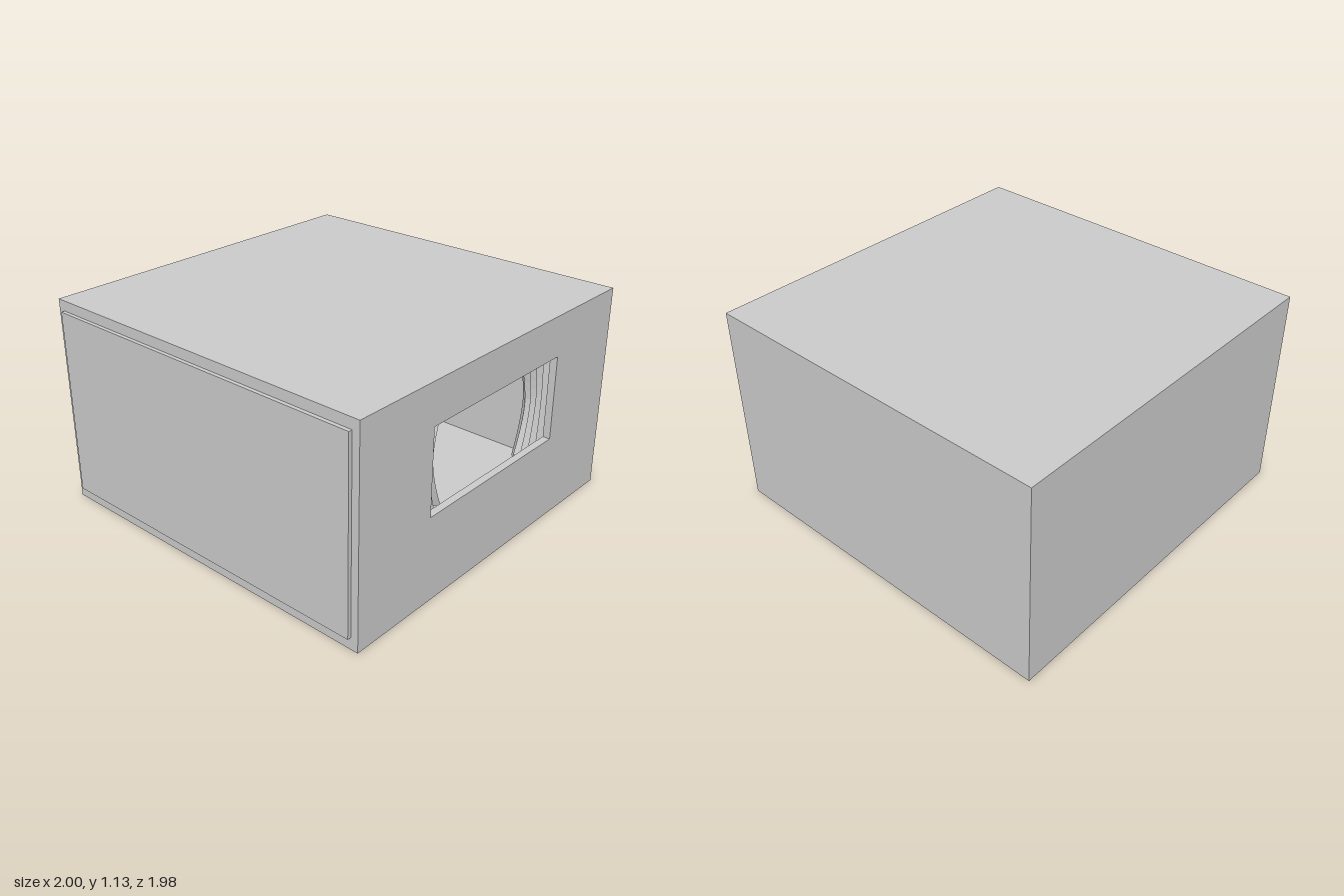
import * as THREE from 'three';

const H = 1.135, T = 0.04;               // box height and wall thickness
const X0 = -0.98, X1 = 1.0, Z = 0.99;    // outer faces of the box
const grey = new THREE.MeshStandardMaterial({ color: 0xcccccc, side: THREE.DoubleSide, flatShading: true });

function add(group, name, geometry, x = 0, y = 0, z = 0) {
  const mesh = new THREE.Mesh(geometry, grey);
  mesh.name = name;
  mesh.position.set(x, y, z);
  group.add(mesh);
  return mesh;
}

function rectangle(x0, y0, x1, y1, Type = THREE.Shape) {
  return new Type([[x0, y0], [x1, y0], [x1, y1], [x0, y1]].map(p => new THREE.Vector2(...p)));
}

function framed(outer, hole, depth) {
  outer.holes.push(hole);
  return new THREE.ExtrudeGeometry(outer, { depth, bevelEnabled: false });
}

// Pleated curtain, gathered towards its outer edge at mid height
function curtain(side) {
  const pleats = 4, y0 = 0.40, y1 = 0.98, outer = 0.53;
  const g = new THREE.PlaneGeometry(1, 1, pleats * 2, 12);
  const p = g.attributes.position;
  for (let i = 0; i < p.count; i++) {
    const u = p.getX(i) + 0.5, v = p.getY(i) + 0.5;
    const y = y0 + (y1 - y0) * v;
    const inner = Math.min(0.375, 0.375 - 0.055 * Math.pow(Math.abs(y - 0.68) / 0.23, 1.6));
    const fold = Math.round(u * pleats * 2) % 2;
    p.setXYZ(i, side * (outer + (inner - outer) * u), y, Z - T - 0.015 - 0.03 * fold - 0.03 * u);
  }
  g.computeVertexNormals();
  return g;
}

export function createModel() {
  const model = new THREE.Group();
  model.name = 'stageBox';
  const cx = (X0 + X1) / 2, w = X1 - X0, d = 2 * Z;

  // Hollow box
  add(model, 'floor', new THREE.BoxGeometry(w, T, d), cx, T / 2, 0);
  add(model, 'roof', new THREE.BoxGeometry(w, T, d), cx, H - T / 2, 0);
  const wallH = H - 2 * T, cy = H / 2;
  add(model, 'backWall', new THREE.BoxGeometry(w, wallH, T), cx, cy, -Z + T / 2);
  add(model, 'leftWall', new THREE.BoxGeometry(T, wallH, d - 2 * T), X1 - T / 2, cy, 0);
  add(model, 'rightWall', new THREE.BoxGeometry(T, wallH, d - 2 * T), X0 + T / 2, cy, 0);

  // Front wall with the stage opening
  add(model, 'frontWall', framed(rectangle(X0, T, X1, H - T),
    rectangle(-0.49, 0.46, 0.5, 0.915, THREE.Path), T), 0, 0, Z - T);

  // Raised panel on the right side
  add(model, 'sidePanel', new THREE.BoxGeometry(0.02, 1.015, 1.9), X0 - 0.01, 0.572, 0);

  // Curtains either side of the opening
  add(model, 'leftCurtain', curtain(1));
  add(model, 'rightCurtain', curtain(-1));

  // Frames hung on the inside of the back wall
  const inside = -Z + T;
  add(model, 'wallFrame', framed(rectangle(-0.17, -0.1, 0.17, 0.1),
    rectangle(-0.155, -0.087, 0.155, 0.087, THREE.Path), 0.02), 0.09, 0.66, inside);
  const tilted = add(model, 'tiltedFrame', framed(rectangle(-0.13, -0.13, 0.13, 0.13),
    rectangle(-0.115, -0.115, 0.115, 0.115, THREE.Path), 0.02), -0.455, 0.625, inside);
  tilted.rotation.z = Math.PI / 4;

  return model;
}
